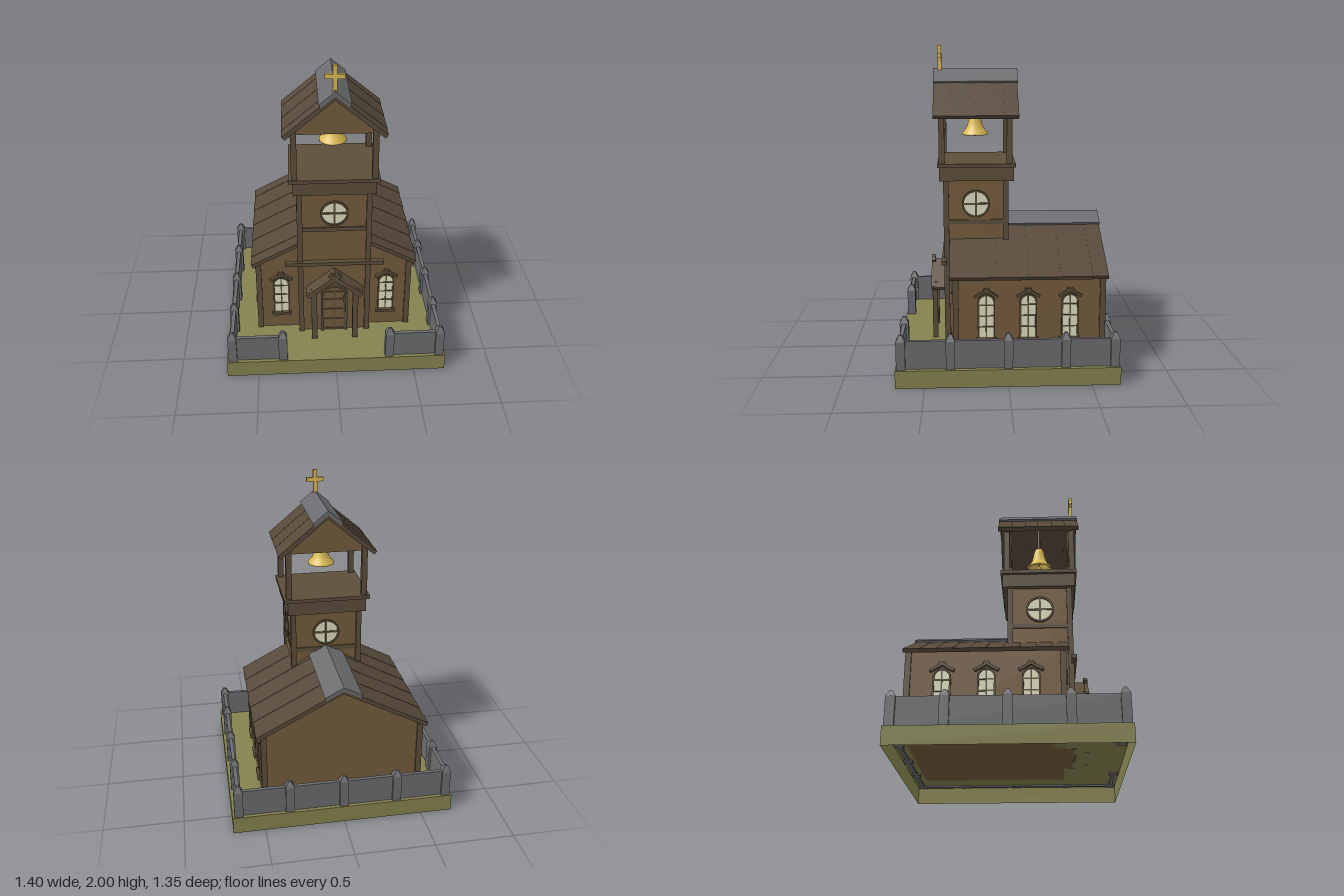
import * as THREE from 'three';

const mat = (color, side = THREE.FrontSide) => new THREE.MeshStandardMaterial({ color, side });
const grass = mat(0x85834f, THREE.DoubleSide), stone = mat(0x6c6d70), wood = mat(0x755c3c),
  beam = mat(0x5c4e3a), shingle = mat(0x57493a), glass = mat(0xdde0c0), gold = mat(0xdcbb55, THREE.DoubleSide);

function add(parent, name, geo, material, x = 0, y = 0, z = 0) {
  const m = new THREE.Mesh(geo, material);
  m.name = name;
  m.position.set(x, y, z);
  parent.add(m);
  return m;
}
// Box given by its extents
function block(parent, name, material, x0, x1, y0, y1, z0, z1) {
  return add(parent, name, new THREE.BoxGeometry(x1 - x0, y1 - y0, z1 - z0), material,
    (x0 + x1) / 2, (y0 + y1) / 2, (z0 + z1) / 2);
}
function prism(parent, name, material, shape, z0, z1) {
  const geo = new THREE.ExtrudeGeometry(shape, { depth: z1 - z0, bevelEnabled: false, curveSegments: 12 });
  return add(parent, name, geo, material, 0, 0, z0);
}
const poly = (pts) => new THREE.Shape(pts.map(([x, y]) => new THREE.Vector2(x, y)));
// Inverted-V roof section with square-cut eaves
function chevron(w, apex, slope, t) {
  const len = Math.hypot(1, slope), y = apex - w * slope;
  const lx = w - t * slope / len, ly = y - t / len;
  return poly([[0, apex], [-w, y], [-lx, ly], [0, apex - t * len], [lx, ly], [w, y]]);
}
// Roof of side-by-side boards with slightly uneven thickness, plus ridge cap
function roof(parent, name, w, apex, slope, t, z0, z1, capW, n) {
  const g = new THREE.Group();
  g.name = name;
  parent.add(g);
  const d = (z1 - z0) / n;
  for (let i = 0; i < n; i++) {
    const k = (i % 2) * 0.002;
    prism(g, 'roofBoards', shingle, chevron(w - k, apex - k, slope, t), z0 + i * d, z0 + (i + 1) * d);
  }
  prism(g, 'ridgeCap', stone, chevron(capW, apex + 0.016, slope, 0.022), z0 - 0.005, z1 + 0.003);
}
// Round-headed outline, standing on y = 0
function arch(w, h, Type = THREE.Shape) {
  const s = new Type();
  s.moveTo(-w, 0);
  s.lineTo(w, 0);
  s.lineTo(w, h - w);
  s.absarc(0, h - w, w, 0, Math.PI, false);
  s.lineTo(-w, 0);
  return s;
}
function archFrame(w, h, t) {
  const s = arch(w + t, h + t);
  s.holes.push(arch(w, h, THREE.Path));
  return s;
}
// Two slats leaning together and crossing at the top
function crossedSlats(parent, name, halfSpan, y0, y1, over, thick, z0, z1) {
  const angle = Math.atan2(y1 - y0, halfSpan), length = Math.hypot(halfSpan, y1 - y0) + over;
  for (const s of [-1, 1]) {
    const m = block(parent, name, beam, -length / 2, length / 2, -thick / 2, thick / 2, z0, z1);
    const mid = length / 2;
    m.position.x = s * (halfSpan - mid * Math.cos(angle));
    m.position.y = y0 + mid * Math.sin(angle);
    m.rotation.z = -s * angle;
  }
}
function archedWindow(parent, x, y, z, turn) {
  const g = new THREE.Group();
  g.name = 'archedWindow';
  prism(g, 'pane', glass, arch(0.044, 0.27), -0.005, 0.004);
  prism(g, 'windowFrame', beam, archFrame(0.043, 0.268, 0.01), -0.005, 0.012);
  block(g, 'mullion', beam, -0.004, 0.004, 0, 0.268, 0, 0.009);
  for (const h of [0.07, 0.14, 0.21]) block(g, 'glazingBar', beam, -0.043, 0.043, h - 0.004, h + 0.004, 0, 0.008);
  block(g, 'windowSill', beam, -0.063, 0.063, -0.02, 0, -0.005, 0.025);
  crossedSlats(g, 'windowHood', 0.07, 0.262, 0.302, 0.02, 0.016, -0.005, 0.022);
  g.position.set(x, y, z);
  g.rotation.y = turn;
  parent.add(g);
}
function roundWindow(parent, x, y, z, turn) {
  const g = new THREE.Group();
  g.name = 'roundWindow';
  const ring = new THREE.Shape().absarc(0, 0, 0.088, 0, Math.PI * 2, false);
  ring.holes.push(new THREE.Path().absarc(0, 0, 0.077, 0, Math.PI * 2, true));
  prism(g, 'pane', glass, new THREE.Shape().absarc(0, 0, 0.08, 0, Math.PI * 2, false), -0.005, 0.004);
  prism(g, 'roundFrame', beam, ring, -0.005, 0.014);
  block(g, 'mullion', beam, -0.006, 0.006, -0.08, 0.08, 0, 0.01);
  block(g, 'glazingBar', beam, -0.08, 0.08, -0.006, 0.006, 0, 0.01);
  g.position.set(x, y, z);
  g.rotation.y = turn;
  parent.add(g);
}

// Grassy plinth, open underneath, with stone fence
function grounds(parent) {
  const g = new THREE.Group();
  g.name = 'grounds';
  parent.add(g);
  add(g, 'lawn', new THREE.PlaneGeometry(1.4, 1.35).rotateX(-Math.PI / 2), grass, 0, 0.11, 0);
  for (const s of [-1, 1]) {
    add(g, 'plinthSide', new THREE.PlaneGeometry(1.4, 0.11).rotateY(s > 0 ? 0 : Math.PI), grass, 0, 0.055, s * 0.675);
    add(g, 'plinthSide', new THREE.PlaneGeometry(1.35, 0.11).rotateY(s * Math.PI / 2), grass, s * 0.7, 0.055, 0);
  }
  const X = 0.66, Z = 0.64, posts = [[0, -Z]];
  for (const s of [-1, 1]) {
    for (const z of [-Z, -0.345, 0, 0.345, Z]) posts.push([s * X, z]);
    posts.push([s * 0.34, -Z], [s * 0.34, Z]);
    block(g, 'fenceWall', stone, s * X - 0.012, s * X + 0.012, 0.1, 0.285, -Z, Z);
    block(g, 'fenceWall', stone, Math.min(s * X, s * 0.34), Math.max(s * X, s * 0.34), 0.1, 0.285, Z - 0.012, Z + 0.012);
  }
  block(g, 'fenceWall', stone, -X, X, 0.1, 0.285, -Z - 0.012, -Z + 0.012);
  for (const [x, z] of posts) {
    block(g, 'fencePost', stone, x - 0.0275, x + 0.0275, 0.1, 0.285, z - 0.0275, z + 0.0275);
    const tip = new THREE.CylinderGeometry(0.012, 0.039, 0.038, 4).rotateY(Math.PI / 4).toNonIndexed();
    tip.computeVertexNormals();
    add(g, 'postTip', tip, stone, x, 0.304, z);
  }
}

function hall(parent) {
  const g = new THREE.Group();
  g.name = 'hall';
  parent.add(g);
  prism(g, 'hallWalls', wood, poly([[-0.495, 0.11], [0.495, 0.11], [0.495, 0.63], [0, 0.89], [-0.495, 0.63]]), -0.595, 0.32);
  roof(g, 'hallRoof', 0.535, 0.91, 0.525, 0.025, -0.617, 0.35, 0.115, 10);
  for (const s of [-1, 1]) {
    for (const z of [0.313, -0.587])
      block(g, 'cornerPost', beam, s * 0.488 - 0.018, s * 0.488 + 0.018, 0.11, 0.62, z - 0.018, z + 0.018);
    archedWindow(g, s * 0.345, 0.235, 0.32, 0);
    for (const z of [0.127, -0.13, -0.387]) archedWindow(g, s * 0.495, 0.235, z, s * Math.PI / 2);
  }
}

function tower(parent) {
  const g = new THREE.Group();
  g.name = 'tower';
  parent.add(g);
  const C = 0.183;
  block(g, 'towerWalls', wood, -0.22, 0.22, 0.11, 1.18, -0.005, 0.37);
  block(g, 'beltBeam', beam, -0.228, 0.228, 0.89, 0.918, -0.013, 0.378);
  for (const s of [-1, 1]) for (const e of [-1, 1]) {
    const x = s * 0.216, z = C + e * 0.187;
    block(g, 'towerPost', beam, x - 0.017, x + 0.017, 0.11, 1.18, z - 0.017, z + 0.017);
    block(g, 'belfryPost', beam, s * 0.243 - 0.018, s * 0.243 + 0.018, 1.27, 1.62, C + e * 0.21 - 0.018, C + e * 0.21 + 0.018);
  }
  for (let i = 0; i < 4; i++) {
    const a = i * Math.PI / 2, r = i % 2 ? 0.22 : 0.1875;
    roundWindow(g, Math.sin(a) * r, 1.02, C + Math.cos(a) * r, a);
  }
  // Belfry floor and roof
  block(g, 'belfryCornice', beam, -0.255, 0.255, 1.17, 1.257, -0.055, 0.41);
  block(g, 'belfryFloor', beam, -0.277, 0.277, 1.257, 1.28, -0.066, 0.422);
  roof(g, 'belfryRoof', 0.312, 1.84, 0.83, 0.028, -0.083, 0.443, 0.095, 6);
  for (const z of [0.38, -0.035])
    prism(g, 'belfryGable', wood, poly([[-0.275, 1.575], [0.275, 1.575], [0, 1.815]]), z, z + 0.022);
  // Bell
  const profile = [[0.001, 1.59], [0.024, 1.585], [0.034, 1.565], [0.04, 1.53], [0.05, 1.49], [0.066, 1.462], [0.084, 1.443], [0.084, 1.433], [0.074, 1.433], [0.05, 1.47], [0.03, 1.54], [0.001, 1.56]];
  add(g, 'bell', new THREE.LatheGeometry(profile.map((p) => new THREE.Vector2(...p)).reverse(), 32), gold, 0, 0, C);
  add(g, 'clapper', new THREE.SphereGeometry(0.016, 16, 10), gold, 0, 1.437, C);
  add(g, 'clapperRod', new THREE.CylinderGeometry(0.005, 0.005, 0.13, 8), gold, 0, 1.5, C);
  add(g, 'bellHanger', new THREE.CylinderGeometry(0.01, 0.01, 0.25, 10), beam, 0, 1.69, C);
  // Rooftop cross
  block(g, 'crossUpright', gold, -0.013, 0.013, 1.83, 2, 0.394, 0.418);
  block(g, 'crossArm', gold, -0.058, 0.058, 1.922, 1.948, 0.394, 0.418);
}

function entrance(parent) {
  const g = new THREE.Group();
  g.name = 'entrance';
  parent.add(g);
  block(g, 'crossBeam', beam, -0.315, 0.315, 0.645, 0.67, 0.37, 0.402);
  for (const [name, material, shape, z1] of [['doorLeaf', wood, arch(0.075, 0.355), 0.376], ['doorFrame', beam, archFrame(0.073, 0.353, 0.014), 0.39]])
    prism(g, name, material, shape, 0.365, z1).position.y = 0.11;
  for (const x of [-0.068, 0, 0.068]) block(g, 'doorStile', beam, x - 0.005, x + 0.005, 0.11, x ? 0.4 : 0.46, 0.37, 0.382);
  for (const y of [0.12, 0.2, 0.28, 0.36, 0.42]) block(g, 'doorRail', beam, -0.065, 0.065, y - 0.005, y + 0.005, 0.37, 0.381);
  // Porch
  prism(g, 'porchRoof', beam, chevron(0.185, 0.608, 0.8, 0.026), 0.36, 0.468);
  crossedSlats(g, 'porchRafter', 0.175, 0.455, 0.592, 0.04, 0.03, 0.45, 0.475);
  for (const s of [-1, 1]) block(g, 'porchPost', beam, s * 0.133 - 0.018, s * 0.133 + 0.018, 0.11, 0.49, 0.435, 0.468);
}

export function createModel() {
  const model = new THREE.Group();
  model.name = 'chapel';
  grounds(model);
  hall(model);
  tower(model);
  entrance(model);
  return model;
}
